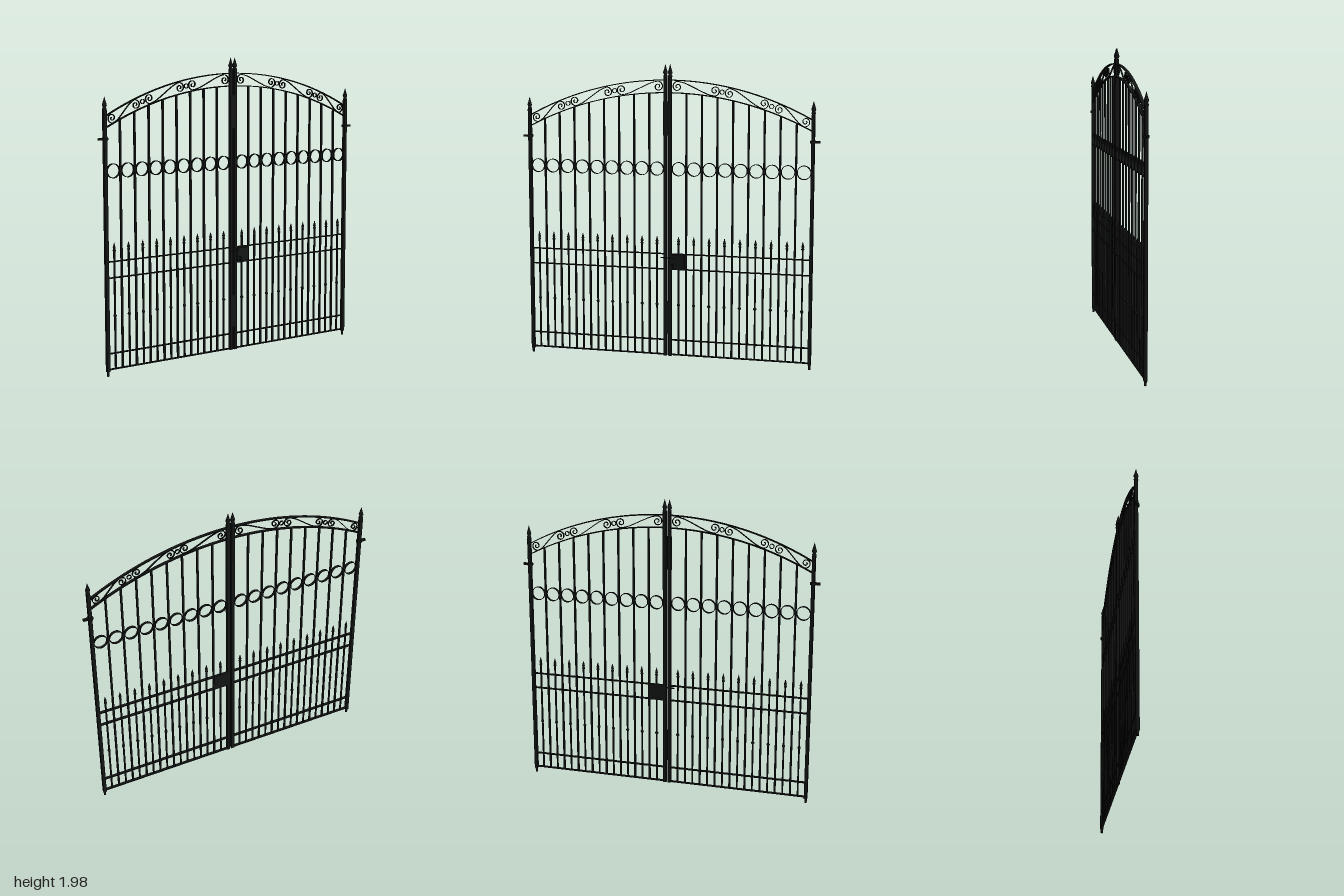
import * as THREE from 'three';

const iron = new THREE.MeshStandardMaterial({ color: 0x151616 });
iron.name = 'black iron';

const Z = -0.011;          // middle plane of the gate
const PITCH = 0.1033;      // spacing of the bars
const FIRST = 0.0735;      // first spear bar from the centre

function add(parent, name, geometry, x = 0, y = 0, z = 0) {
  const mesh = new THREE.Mesh(geometry, iron);
  mesh.name = name;
  mesh.position.set(x, y, z);
  parent.add(mesh);
  return mesh;
}

// box given by its x, y and z ranges
function box(parent, name, x0, x1, y0, y1, z0, z1) {
  return add(parent, name, new THREE.BoxGeometry(x1 - x0, y1 - y0, z1 - z0),
    (x0 + x1) / 2, (y0 + y1) / 2, (z0 + z1) / 2);
}

function lathe(profile, sides) {
  return new THREE.LatheGeometry(profile.map(([r, y]) => new THREE.Vector2(r, y)), sides);
}

// flat iron strip that follows a line of points in the xy plane
function strip(points, thick, depth) {
  const left = [], right = [];
  points.forEach((p, i) => {
    const a = points[Math.max(i - 1, 0)], b = points[Math.min(i + 1, points.length - 1)];
    const t = b.clone().sub(a).normalize();
    const n = new THREE.Vector2(-t.y, t.x).multiplyScalar(thick / 2);
    left.push(p.clone().add(n));
    right.push(p.clone().sub(n));
  });
  const shape = new THREE.Shape([...right, ...left.reverse()]);
  const geo = new THREE.ExtrudeGeometry(shape, { depth, bevelEnabled: false });
  return geo.translate(0, 0, -depth / 2);
}

function ring(radius, thick, depth) {
  const shape = new THREE.Shape().absarc(0, 0, radius, 0, Math.PI * 2, false);
  shape.holes.push(new THREE.Path().absarc(0, 0, radius - thick, 0, Math.PI * 2, true));
  return new THREE.ExtrudeGeometry(shape, { depth, bevelEnabled: false, curveSegments: 16 })
    .translate(0, 0, -depth / 2);
}

// height of a circular arch that drops from the middle to the outer post
function archY(x, top, drop) {
  const R = (0.955 ** 2 + drop ** 2) / (2 * drop);
  return top - R + Math.sqrt(R * R - x * x);
}
const upperY = (x) => archY(x, 1.88, 0.246);
const lowerY = (x) => archY(x, 1.798, 0.236);
const midY = (x) => (upperY(x) + lowerY(x)) / 2;

// S-scroll between two spiral centres lying between the arches
function scroll(xa, xb, radius) {
  const a = new THREE.Vector2(xa, midY(xa)), b = new THREE.Vector2(xb, midY(xb));
  const length = a.distanceTo(b), angle = b.clone().sub(a).angle();
  const half = [];
  for (let i = 0; i <= 24; i++) {
    const k = i / 24, t = Math.PI / 2 + (1 - k) * Math.PI * 3;
    const r = radius * (0.15 + 0.85 * k);
    half.push(new THREE.Vector2(Math.cos(t) * r, Math.sin(t) * r));
  }
  half.push(new THREE.Vector2(length * 0.2, radius * 0.78));
  const other = half.map((p) => new THREE.Vector2(length - p.x, -p.y)).reverse();
  const curve = new THREE.SplineCurve([...half, new THREE.Vector2(length / 2, 0), ...other]);
  const points = curve.getPoints(110).map((p) =>
    p.rotateAround(new THREE.Vector2(), angle).add(a));
  return strip(points, 0.005, 0.01);
}

const postFinial = lathe([[0.011, 0], [0.014, 0.004], [0.014, 0.012], [0.01, 0.018],
  [0.016, 0.032], [0.008, 0.058], [0, 0.087]], 8);
const spear = lathe([[0.006, 0], [0.01, 0.004], [0.01, 0.01], [0.006, 0.014],
  [0.01, 0.024], [0, 0.06]], 8);
const bead = lathe([[0.005, -0.011], [0.011, -0.003], [0.011, 0.003], [0.005, 0.011]], 8);
const circle = ring(0.046, 0.004, 0.018);
const smallCircle = ring(0.016, 0.004, 0.01);

// one leaf, hinged at +x
function buildLeaf() {
  const leaf = new THREE.Group();

  // posts with pointed caps
  box(leaf, 'innerPost', 0.005, 0.027, 0.035, 1.9, -0.011, 0.011);
  add(leaf, 'innerFinial', postFinial, 0.016, 1.897);
  box(leaf, 'outerPost', 0.944, 0.966, 0.03, 1.675, -0.011, 0.011);
  add(leaf, 'outerFinial', postFinial, 0.955, 1.673);
  add(leaf, 'pivotPin', new THREE.CylinderGeometry(0.009, 0.008, 0.04, 12), 0.955, 0.02);

  // upper hinge
  box(leaf, 'hingeArm', 0.935, 1, 1.49, 1.504, -0.008, 0.008);
  add(leaf, 'hingeCollar', new THREE.CylinderGeometry(0.02, 0.02, 0.016, 12), 0.955, 1.497);

  // flat cross rails
  for (const y of [0.043, 0.144, 0.627, 0.73]) {
    box(leaf, 'crossRail', 0.02, 0.95, y - 0.003, y + 0.003, -0.01, 0.01);
  }

  // arched rails
  for (const [name, f] of [['upperArch', upperY], ['lowerArch', lowerY]]) {
    const points = [];
    for (let i = 0; i <= 32; i++) {
      const x = 0.016 + (0.939 * i) / 32;
      points.push(new THREE.Vector2(x, f(x)));
    }
    add(leaf, name, strip(points, 0.006, 0.02));
  }

  // tall bars, spear bars and the row of circles
  for (let i = 0; i < 9; i++) {
    const x = FIRST + i * PITCH;
    box(leaf, 'spearBar', x - 0.005, x + 0.005, 0.043, 0.795, -0.005, 0.005);
    add(leaf, 'spearHead', spear, x, 0.791);
    add(leaf, 'bead', bead, x, 0.385);
    add(leaf, 'circle', circle, x, 1.298);
    if (i < 8) {
      const t = x + PITCH / 2;
      box(leaf, 'tallBar', t - 0.006, t + 0.006, 0.043, lowerY(t), -0.006, 0.006);
    }
  }

  // scrollwork between the arches
  add(leaf, 'scroll', scroll(0.065, 0.313, 0.034));
  add(leaf, 'scroll', scroll(0.41, 0.635, 0.033));
  add(leaf, 'scroll', scroll(0.735, 0.904, 0.032));
  for (const x of [0.361, 0.685]) add(leaf, 'smallCircle', smallCircle, x, midY(x));
  return leaf;
}

// turn the leaf's geometry over in x and keep the faces outward
function mirrored(leaf) {
  const copy = new THREE.Group();
  for (const part of leaf.children) {
    const geo = part.geometry.index ? part.geometry.toNonIndexed() : part.geometry.clone();
    geo.scale(-1, 1, 1);
    for (const attribute of Object.values(geo.attributes)) {
      const { array, itemSize: n } = attribute;
      for (let i = 0; i < array.length; i += 3 * n) {
        for (let k = 0; k < n; k++) {
          [array[i + n + k], array[i + 2 * n + k]] = [array[i + 2 * n + k], array[i + n + k]];
        }
      }
    }
    add(copy, part.name, geo, -part.position.x, part.position.y, part.position.z);
  }
  return copy;
}

export function createModel() {
  const gate = new THREE.Group();
  gate.name = 'gate';
  const leftLeaf = buildLeaf();
  leftLeaf.name = 'leftLeaf';
  const rightLeaf = mirrored(leftLeaf);
  rightLeaf.name = 'rightLeaf';
  leftLeaf.position.z = rightLeaf.position.z = Z;
  gate.add(leftLeaf, rightLeaf);

  // cover plates over the meeting posts
  box(gate, 'upperCoverPlate', -0.027, 0.025, 1.52, 1.74, -0.002, 0.004);
  box(gate, 'lowerCoverPlate', -0.027, 0.025, 0.19, 0.41, -0.002, 0.004);

  // lock with sliding bolt and pull ring
  box(gate, 'lockCase', 0.02, 0.123, 0.63, 0.73, -0.021, -0.001);
  box(gate, 'lockPlate', 0.025, 0.115, 0.635, 0.725, -0.001, 0.008);
  box(gate, 'bolt', -0.045, 0.06, 0.703, 0.709, 0.006, 0.013);
  const pull = add(gate, 'pullRing', new THREE.TorusGeometry(0.012, 0.003, 8, 20), 0.04, 0.656, 0.018);
  pull.rotation.y = Math.PI / 2;
  return gate;
}
